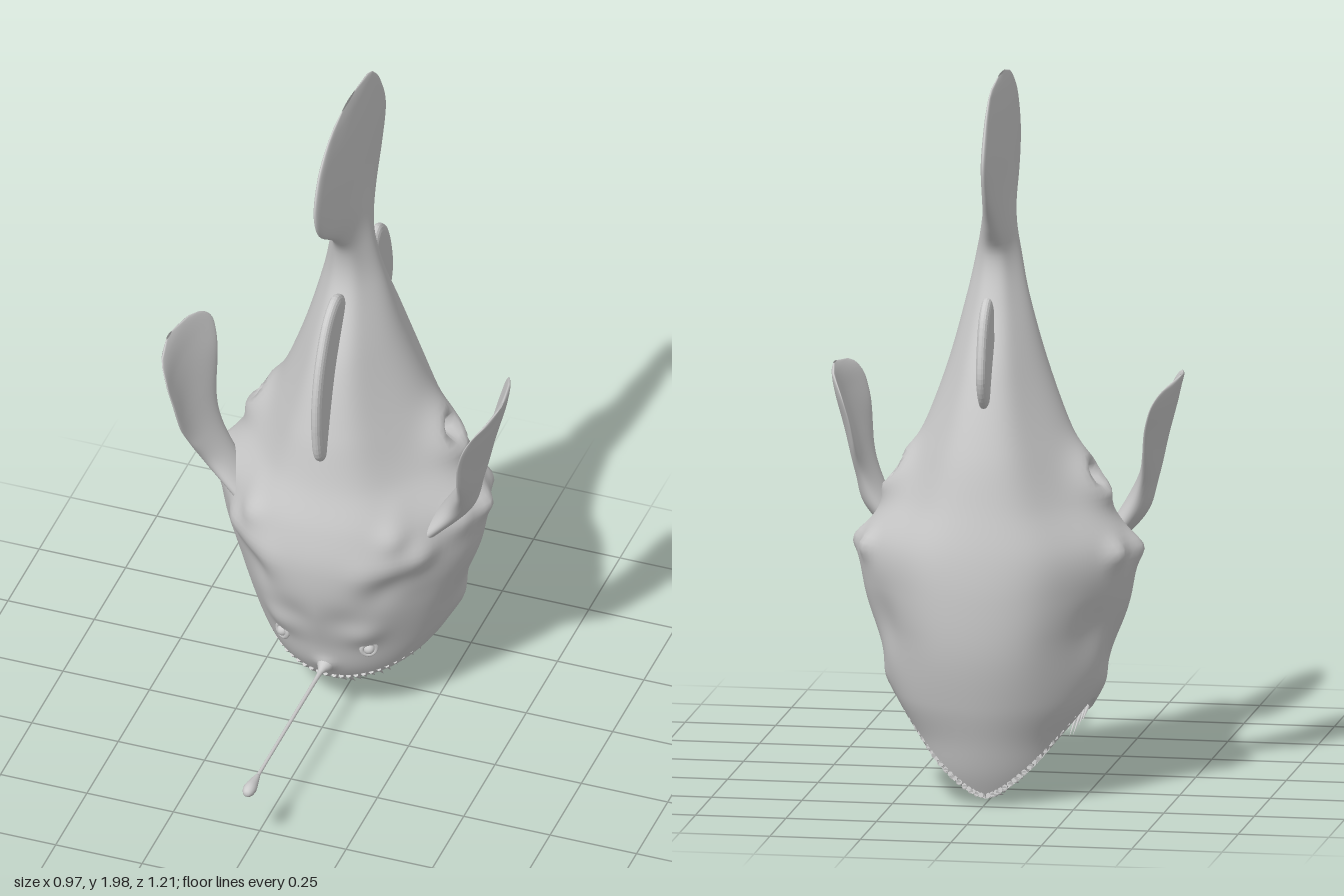
import * as THREE from 'three';

const MAT = new THREE.MeshStandardMaterial({ color: 0xcccccc, side: THREE.DoubleSide });

// Body stations: height, back edge z, belly edge z, half width
const BODY = [
  [2, -.16, -.26, .003], [1.985, -.085, -.365, .008], [1.95, -.02, -.42, .014], [1.9, .03, -.46, .02],
  [1.8, .06, -.5, .027], [1.7, .02, -.465, .033], [1.6, -.1, -.39, .045], [1.52, -.155, -.335, .06],
  [1.4, -.155, -.36, .085], [1.2, -.06, -.46, .14], [1, 0, -.535, .215], [.85, .03, -.57, .285],
  [.72, .068, -.597, .375], [.6, .083, -.605, .372], [.45, .06, -.595, .335], [.3, 0, -.56, .28],
  [.2, -.035, -.525, .23], [.1, -.11, -.49, .195], [0, -.2, -.44, .14],
];
// Pectoral fin stations: height, front z, rear z, half thickness, centre x
const FIN = [
  [1.16, -.08, -.12, .003, .48], [1.15, .005, -.22, .006, .476], [1.125, .045, -.28, .009, .468],
  [1.08, .06, -.298, .012, .455], [.97, .035, -.265, .018, .42], [.87, -.02, -.215, .028, .388],
  [.78, -.065, -.2, .04, .35], [.68, -.07, -.19, .03, .27],
];
// Skin lumps: x, y, z, radius, height (mirrored)
const LUMPS = [
  [.26, .9, -.28, .08, .055], [.25, .91, -.28, .03, -.085],
  [.37, .71, -.14, .05, .025], [.38, .71, -.25, .04, .025], [.35, .71, -.37, .035, .022],
  [.28, .63, -.03, .05, .032], [.22, .62, .02, .05, .016], [.15, .6, .05, .06, .01],
  [.24, .8, 0, .04, .022], [.21, .71, .01, .045, .018], [.18, .53, .02, .06, -.012],
  [.33, .5, -.42, .09, -.02], [.33, .42, -.25, .09, -.012], [.12, .36, 0, .05, .012],
  [.07, .42, .04, .06, -.01], [.29, .34, -.3, .05, .012], [0, .22, -.03, .025, .014],
];

// Smooth interpolation of a station table at height y
function station(table, y) {
  let i = 0;
  while (i < table.length - 2 && y < table[i + 1][0]) i++;
  const a = table[i], b = table[i + 1], h = b[0] - a[0];
  const p = table[Math.max(i - 1, 0)], q = table[Math.min(i + 2, table.length - 1)];
  const t = THREE.MathUtils.clamp((y - a[0]) / h, 0, 1);
  return a.map((v, k) => {
    const m = (b[k] - p[k]) / (b[0] - p[0]) * h, n = (q[k] - v) / (q[0] - a[0]) * h;
    return v * (1 + 2 * t) * (1 - t) ** 2 + m * t * (1 - t) ** 2 + b[k] * t * t * (3 - 2 * t) + n * t * t * (t - 1);
  });
}

// Closed-ring surface, rows running downward
function loft(rows, cols, point) {
  const pos = [], index = [];
  for (let i = 0; i <= rows; i++)
    for (let j = 0; j < cols; j++) {
      pos.push(...point(i, j / cols * Math.PI * 2).toArray());
      if (i === rows) continue;
      const a = i * cols + j, b = i * cols + (j + 1) % cols;
      index.push(a, a + cols, b, b, a + cols, b + cols);
    }
  const g = new THREE.BufferGeometry();
  g.setAttribute('position', new THREE.Float32BufferAttribute(pos, 3));
  g.setIndex(index);
  g.computeVertexNormals();
  return g;
}

// Skin point at height y and angle t (0 = back, PI = belly); sections narrow to wedges at back and belly
function skin(y, t) {
  const [, zf, zb, w] = station(BODY, y);
  const zc = (zf + zb) / 2;
  const wedge = 1 - .14 * Math.sin(2 * t) ** 2 * THREE.MathUtils.smoothstep(y, .2, .5);
  const p = new THREE.Vector3(Math.max(w, .002) * wedge * Math.sin(t), y, zc + (zf - zb) / 2 * Math.cos(t));
  const out = new THREE.Vector3(p.x, 0, p.z - zc).normalize();
  let push = 0;
  for (const [x, ly, z, r, h] of LUMPS) {
    const d2 = (Math.abs(p.x) - x) ** 2 + (y - ly) ** 2 + (p.z - z) ** 2;
    push += h * Math.exp(-d2 / (r * r));
  }
  return p.addScaledVector(out, push);
}

// Height of the lip around the head, with a notch at each mouth corner
const CORNER = 1.78;
function lip(t) {
  const a = Math.abs(t > Math.PI ? t - 2 * Math.PI : t);
  return a < CORNER ? .145 + .155 * (a / CORNER) ** 1.5
    : .035 + .265 * ((Math.PI - a) / (Math.PI - CORNER)) ** 1.6;
}

export function createModel() {
  const model = new THREE.Group();
  const add = (name, geometry, parent = model) => {
    const m = new THREE.Mesh(geometry, MAT);
    m.name = name;
    parent.add(m);
    return m;
  };

  // Body, tail fin and mouth cavity in one skin
  const OUT = 120, IN = 8;
  add('bodyAndTail', loft(OUT + IN, 112, (i, t) => {
    const rim = lip(t);
    if (i <= OUT) {
      const y = 2 * (1 - i / OUT);
      return skin(y > .6 ? y : rim + (.6 - rim) * y / .6, t);
    }
    const k = (i - OUT) / IN, p = skin(rim, t), s = k ** 1.3;
    return new THREE.Vector3(p.x * (1 - s), p.y + (.5 - p.y) * k, p.z + (-.28 - p.z) * s);
  }));

  // Pectoral fins, bowed paddles
  for (const s of [1, -1])
    add(s > 0 ? 'leftPectoralFin' : 'rightPectoralFin', loft(48, 32, (i, t) => {
      const y = 1.16 - .48 * i / 48, [, zf, zb, w, x] = station(FIN, y);
      const c = Math.cos(t), half = (zf - zb) / 2;
      const bow = 1.1 * (half * c) ** 2 * THREE.MathUtils.smoothstep(y, .8, 1.05);
      return new THREE.Vector3(s * (x - bow + Math.max(w, .003) * Math.sin(s * t)), y, (zf + zb) / 2 + half * c);
    }));

  // Dorsal and anal fins with tapered edges, outlines as z, y
  const flatFin = (name, pts) => {
    const curve = new THREE.CatmullRomCurve3(pts.map(([z, y]) => new THREE.Vector3(-z, y, 0)), true);
    const shape = new THREE.Shape(curve.getPoints(48).map(p => new THREE.Vector2(p.x, p.y)));
    const g = new THREE.ExtrudeGeometry(shape, {
      depth: .004, bevelEnabled: true, bevelThickness: .014, bevelSize: .03, bevelOffset: -.03, bevelSegments: 4,
    });
    add(name, g.translate(0, 0, -.002).rotateY(Math.PI / 2));
  };
  flatFin('dorsalFin', [[-.19, 1.33], [-.11, 1.41], [-.04, 1.385], [.025, 1.29], [.06, 1.17], [.062, 1.05], [.035, .95], [-.06, .92], [-.18, 1.1]]);
  flatFin('analFin', [[-.34, 1.2], [-.385, 1.3], [-.395, 1.39], [-.435, 1.42], [-.495, 1.38], [-.535, 1.28], [-.54, 1.2], [-.5, 1.13], [-.42, 1.1]]);

  // Teeth along both jaws, pointing across the gape
  const teeth = new THREE.Group();
  teeth.name = 'teeth';
  model.add(teeth);
  const up = new THREE.Vector3(0, 1, 0);
  const row = (name, from, to, count, dir, size) => {
    for (let i = 0; i < count; i++)
      for (const s of [1, -1]) {
        const t = from + (to - from) * i / (count - 1);
        const len = size * (.6 + .4 * Math.sin(i * 2.4) ** 2);
        const m = add(name, new THREE.ConeGeometry(.0075, len, 6).translate(0, len / 2 - .008, 0), teeth);
        m.position.copy(skin(lip(t) + .008, s * t));
        m.position.x *= .96;
        const d = new THREE.Vector3(-s * Math.sin(t) * .15, ...dir).normalize();
        m.quaternion.setFromUnitVectors(up, d);
      }
  };
  row('upperTooth', .06, 1.35, 14, [-.6, -.6], .1);
  row('lowerTooth', 1.95, 3.08, 18, [-.2, .8], .15);
  row('innerLowerTooth', 2.1, 3.0, 11, [.15, .8], .11);

  // Eyes in raised sockets
  for (const s of [1, -1]) {
    const p = skin(.3, s * .47);
    add('eye', new THREE.SphereGeometry(.016, 16, 12)).position.copy(p);
    const socket = add('eyeSocket', new THREE.TorusGeometry(.02, .007, 8, 20));
    socket.position.copy(p);
    socket.lookAt(p.x * 2, p.y, p.z + .22);
  }

  // Lure rod with flared root and bulb
  const profile = [[.028, 0], [.02, .025], [.009, .05], [.006, .09], [.005, .3], [.005, .53], [.008, .56],
    [.014, .59], [.018, .615], [.016, .633], [.009, .645], [0, .648]];
  const spline = new THREE.SplineCurve(profile.map(p => new THREE.Vector2(...p)));
  const pts = spline.getPoints(44).map(p => p.setX(Math.max(p.x, 0)));
  add('lure', new THREE.LatheGeometry(pts, 16).rotateX(Math.PI / 2)).position.set(0, .218, -.04);

  return model;
}
